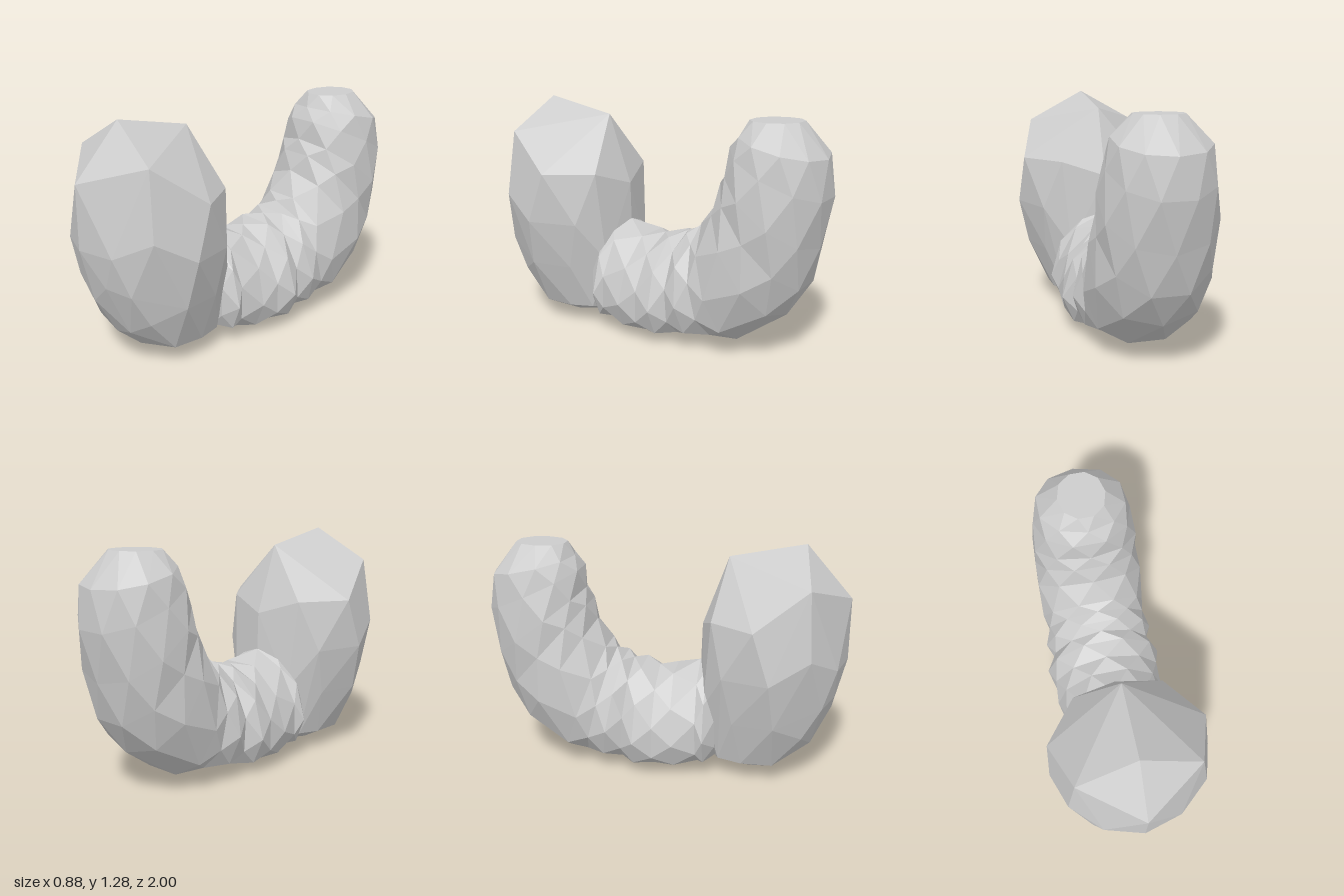
import * as THREE from 'three';
import { ConvexGeometry } from 'three/addons/geometries/ConvexGeometry.js';

const material = new THREE.MeshStandardMaterial({ color: 0xcccccc, flatShading: true });

// Faceted head: half of the corners [x, y, z], mirrored across x = 0
function headGeometry() {
  const corners = [
    // profile on the centre line
    [0, 1.285, 0.75], [0, 1.0, 1.0], [0, 0.66, 1.0], [0, 0.37, 0.93], [0, 0.16, 0.81],
    [0, 0.04, 0.67], [0, 0, 0.48], [0, 0.02, 0.34], [0, 0.06, 0.25], [0, 0.5, 0.19],
    [0, 0.82, 0.2], [0, 1.205, 0.34],
    // sides
    [0.32, 1.11, 0.78], [0.42, 0.905, 0.5], [0.44, 0.63, 0.59], [0.38, 0.37, 0.62],
    [0.26, 0.105, 0.62], [0.26, 0.105, 0.45], [0.12, 0.03, 0.5], [0.37, 0.75, 0.8],
    [0.21, 0.66, 0.94], [0.13, 0.48, 0.935], [0.26, 0.455, 0.87], [0.15, 0.21, 0.82],
    [0.27, 0.28, 0.77], [0.24, 0.9, 0.27], [0.34, 0.62, 0.34], [0.32, 0.36, 0.4],
    [0.22, 0.11, 0.32], [0.2, 0.4, 0.23],
  ];
  const points = [];
  for (const [x, y, z] of corners) {
    points.push(new THREE.Vector3(x, y, z));
    if (x > 0) points.push(new THREE.Vector3(-x, y, z));
  }
  return new ConvexGeometry(points);
}

// Curved body: each section is [inner z, inner y, outer z, outer y, half width, sag],
// where sag moves the widest point towards the outer side
function bodyGeometry() {
  const sections = [
    [0.3, 0.58, 0.3, 0.08, 0.24, 0.3],
    [0.24, 0.6, 0.24, 0.06, 0.32, 0.35],
    [0.19, 0.61, 0.2, 0.05, 0.285, 0.35],
    [0.05, 0.56, 0.08, 0.03, 0.32, 0.35],
    [-0.04, 0.565, -0.04, 0.025, 0.31, 0.35],
    [-0.13, 0.585, -0.15, 0.035, 0.345, 0.35],
    [-0.19, 0.6, -0.23, 0.04, 0.28, 0.3],
    [-0.24, 0.62, -0.33, 0.05, 0.325, 0.25],
    [-0.29, 0.655, -0.44, 0.06, 0.285, 0.2],
    [-0.33, 0.69, -0.56, 0.07, 0.31, 0.15],
    [-0.4, 0.82, -0.8, 0.23, 0.305, 0.05],
    [-0.44, 0.92, -0.9, 0.41, 0.3, 0],
    [-0.46, 1.0, -0.965, 0.62, 0.29, 0],
    [-0.485, 1.11, -0.995, 0.88, 0.275, 0],
    [-0.52, 1.18, -0.985, 1.08, 0.235, 0],
    [-0.57, 1.25, -0.84, 1.255, 0.13, 0],
  ];
  const N = 10;
  const bulge = (v) => Math.sign(v) * Math.abs(v) ** 0.95;
  const positions = [];
  const tri = (...pts) => pts.forEach((p) => positions.push(p.x, p.y, p.z));

  // alternate rings are turned by half a step to give triangular facets
  const inset = 1 / bulge(Math.cos(Math.PI / N));
  const rings = sections.map(([iz, iy, oz, oy, w, sag], k) => {
    const odd = k % 2;
    return Array.from({ length: N }, (_, i) => {
      const a = ((i + odd / 2) / N) * Math.PI * 2;
      const s = bulge(Math.sin(a));
      const c = bulge(Math.cos(a)) * (odd ? inset : 1) - sag * s * s;
      return new THREE.Vector3(
        w * s * (odd ? 1 : inset),
        (iy + oy) / 2 + ((iy - oy) / 2) * Math.max(c, -1),
        (iz + oz) / 2 + ((iz - oz) / 2) * Math.max(c, -1)
      );
    });
  });
  const centre = ([iz, iy, oz, oy]) => new THREE.Vector3(0, (iy + oy) / 2, (iz + oz) / 2);
  const first = centre(sections[0]);
  const last = centre(sections[sections.length - 1]);

  for (let i = 0; i < N; i++) {
    const j = (i + 1) % N;
    for (let k = 0; k < rings.length - 1; k++) {
      const a = rings[k], b = rings[k + 1];
      if (k % 2) {
        tri(a[i], a[j], b[j]);
        tri(a[i], b[j], b[i]);
      } else {
        tri(a[i], a[j], b[i]);
        tri(a[j], b[j], b[i]);
      }
    }
    // end caps
    const end = rings[rings.length - 1];
    tri(rings[0][j], rings[0][i], first);
    tri(end[i], end[j], last);
  }
  const geometry = new THREE.BufferGeometry();
  geometry.setAttribute('position', new THREE.Float32BufferAttribute(positions, 3));
  geometry.computeVertexNormals();
  return geometry;
}

export function createModel() {
  const group = new THREE.Group();
  const add = (name, geometry) => {
    const mesh = new THREE.Mesh(geometry, material);
    mesh.name = name;
    group.add(mesh);
  };
  add('head', headGeometry());
  add('curvedBody', bodyGeometry());
  return group;
}
